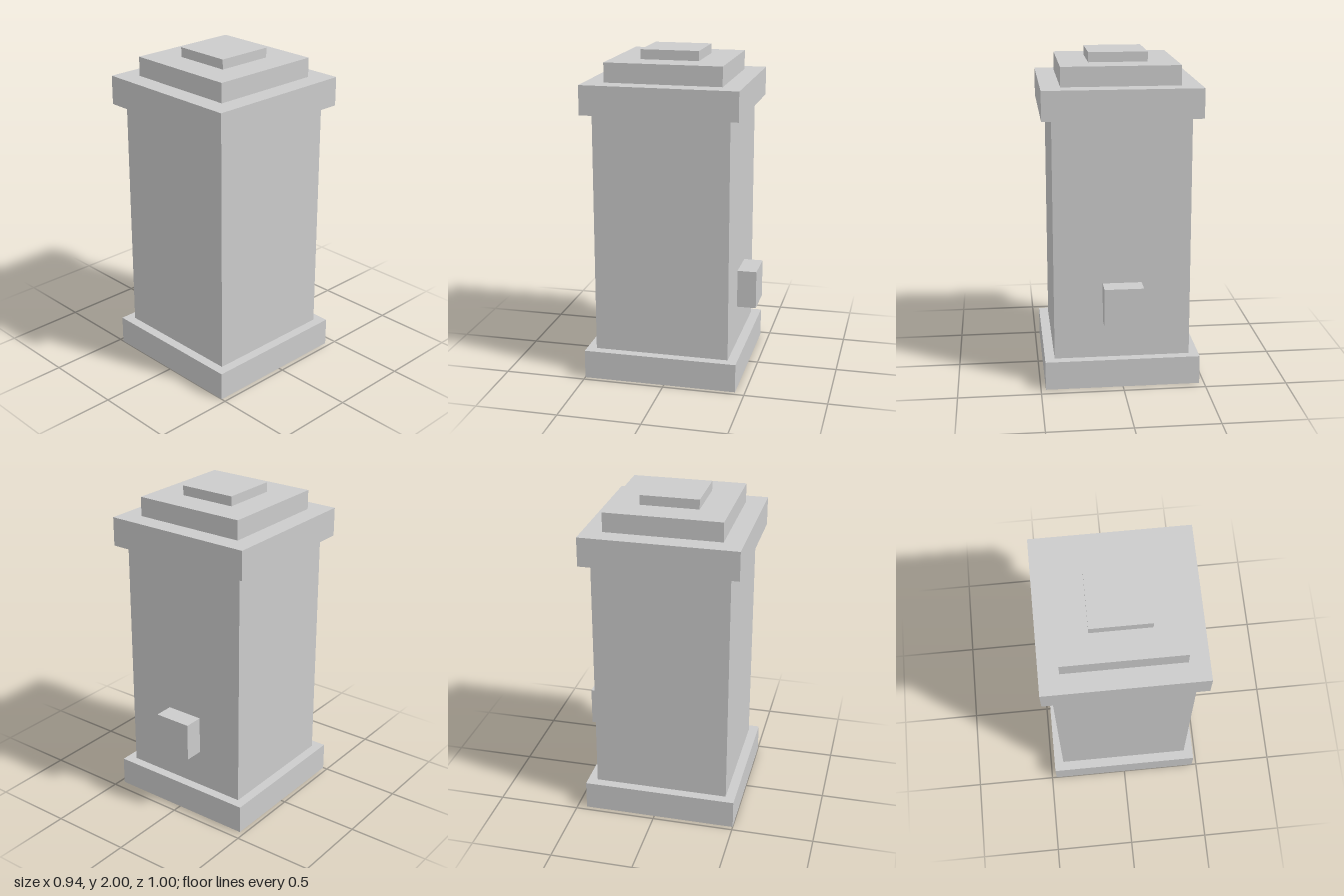
import * as THREE from 'three';

const U = 1 / 17; // modular unit: the pillar is 34 units tall
const Z = 0.5;    // pillar axis, shifted forward to balance the rear block

export function createModel() {
  const group = new THREE.Group();
  const material = new THREE.MeshStandardMaterial({ color: 0xcccccc, flatShading: true });

  // Box given in units, standing on height y0
  const addBlock = (name, width, depth, y0, y1, z = Z) => {
    const geometry = new THREE.BoxGeometry(width * U, (y1 - y0) * U, depth * U);
    const mesh = new THREE.Mesh(geometry, material);
    mesh.name = name;
    mesh.position.set(0, (y0 + y1) / 2 * U, z * U);
    group.add(mesh);
  };

  // Square tiers of the pillar, bottom to top
  addBlock('base', 16, 16, 0, 3);
  addBlock('shaft', 14, 14, 3, 28);
  addBlock('cap', 16, 16, 28, 31);
  addBlock('upperStep', 12, 12, 31, 33);
  addBlock('topPlate', 6, 6, 33, 34);

  // Small block projecting from the back of the shaft
  addBlock('rearBlock', 4, 2, 7, 11, -7.5);

  return group;
}
